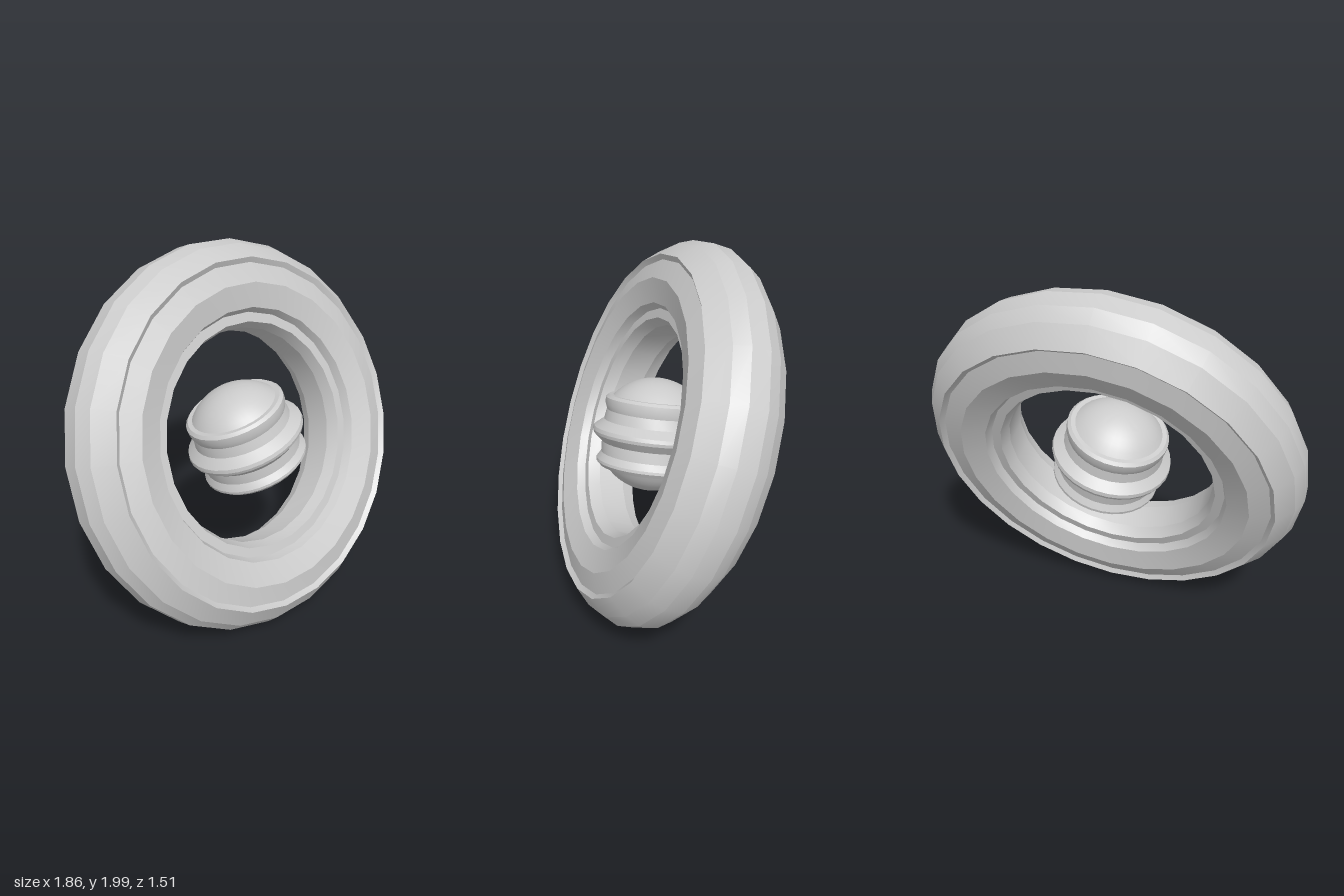
import * as THREE from 'three';
import { toCreasedNormals } from 'three/addons/utils/BufferGeometryUtils.js';

const UP = new THREE.Vector3(0, 1, 0);

// Turned part: profile of [radius, height] pairs, spun and tilted onto an axis
function turned(name, profile, segments, crease, axis, position) {
  const points = profile.map(([r, h]) => new THREE.Vector2(r, h));
  const lathe = new THREE.LatheGeometry(points, segments, Math.PI / segments);
  const mesh = new THREE.Mesh(
    toCreasedNormals(lathe, crease),
    new THREE.MeshStandardMaterial({ color: 0xcccccc }),
  );
  mesh.name = name;
  mesh.quaternion.setFromUnitVectors(UP, new THREE.Vector3(...axis).normalize());
  mesh.position.set(...position);
  return mesh;
}

// Arc of a spherical cap, angles measured up from the equator
function capArc(radius, from, to, steps) {
  return Array.from({ length: steps + 1 }, (_, i) => {
    const a = THREE.MathUtils.degToRad(from + ((to - from) * i) / steps);
    return [Math.max(0, radius * Math.cos(a)), radius * Math.sin(a)];
  });
}

export function createModel() {
  const group = new THREE.Group();
  group.name = 'ringedOrb';

  // Heavy ring: half of its stepped section, mirrored to the other side
  const half = [
    [1.052, 0.05], [1.015, 0.125], [0.93, 0.215], [0.905, 0.195], [0.8, 0.225],
    [0.675, 0.185], [0.655, 0.14], [0.605, 0.14], [0.58, 0.075],
  ];
  const back = [...half].reverse().map(([r, h]) => [r, -h]);
  group.add(turned('outerRing', [...half, ...back, half[0]], 24, 0.27, [0.52, 0.365, 0.772], [0, 1, 0]));

  // Central ball: two smooth caps with three raised bands between them
  const ball = [
    ...capArc(0.31, -90, -37, 8),
    [0.278, -0.186], [0.298, -0.165], [0.298, -0.15], [0.276, -0.115],
    [0.278, -0.055], [0.326, -0.012], [0.332, 0.005], [0.328, 0.025],
    [0.276, 0.065], [0.266, 0.12], [0.277, 0.15], [0.278, 0.185], [0.262, 0.2],
    ...capArc(0.31, 40, 90, 8),
  ];
  group.add(turned('coreBall', ball, 32, 0.5, [-0.34, 0.94, 0], [0.01, 0.99, 0]));

  return group;
}
